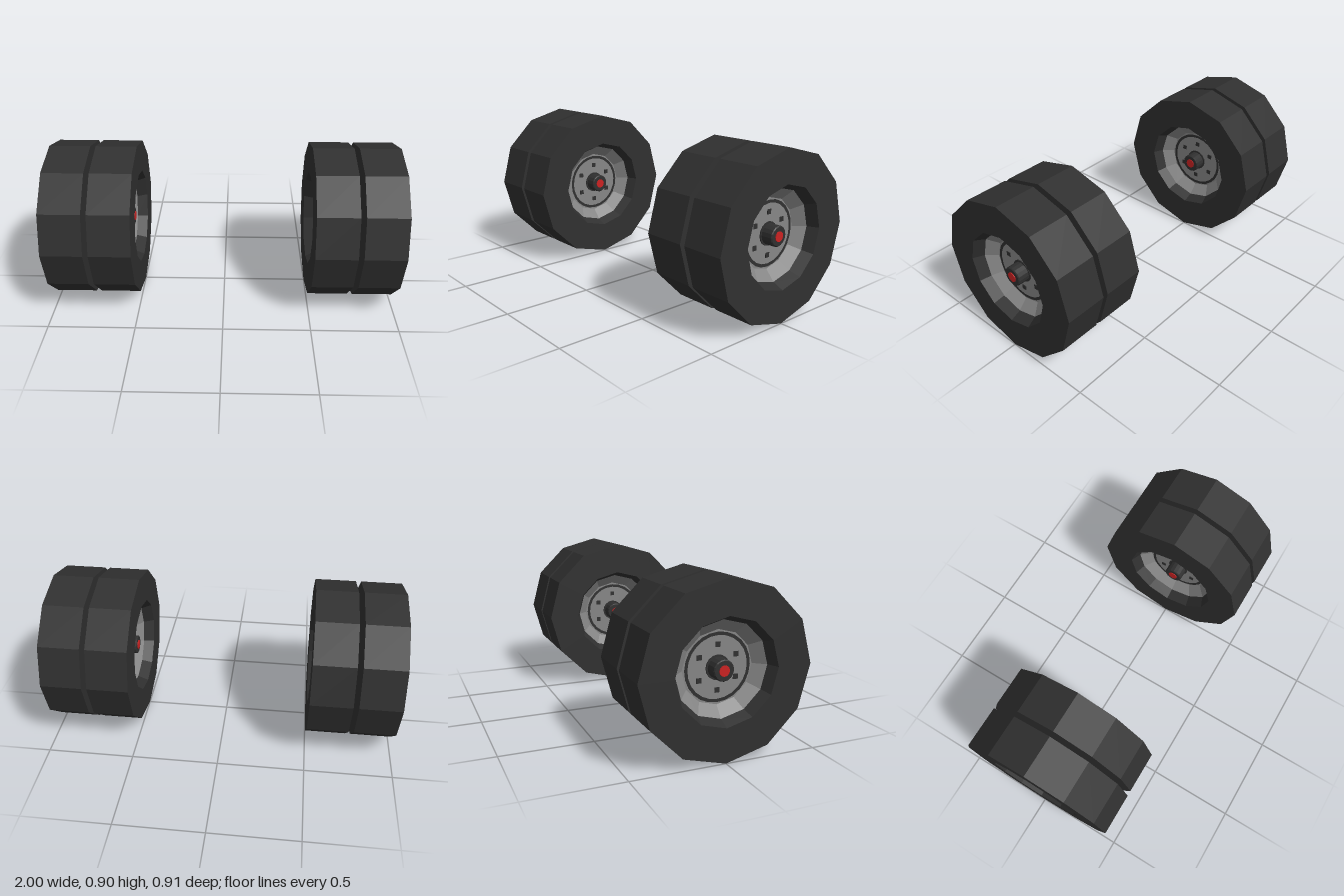
import * as THREE from 'three';

const mat = (name, color) => {
  const m = new THREE.MeshStandardMaterial({ color, flatShading: true });
  m.name = name;
  return m;
};

const WIDTH = 0.235;      // one tyre
const GAP = 0.03;         // between the twin tyres
const DISC = WIDTH - 0.11; // axial position of the flat rim disc

export function createModel() {
  const rubber = mat('rubber', 0x303030);
  const steel = mat('steel', 0x868686);
  const red = mat('red', 0xcc2222);

  // Lathe around the x axis from [radius, axial] pairs
  const turned = (name, material, profile, sides = 12) => {
    const g = new THREE.LatheGeometry(profile.map(([r, a]) => new THREE.Vector2(r, a)), sides);
    g.rotateZ(-Math.PI / 2);
    const mesh = new THREE.Mesh(g, material);
    mesh.name = name;
    return mesh;
  };

  // One wheel with its outer face towards +x and its back at x = 0
  const makeWheel = () => {
    const wheel = new THREE.Group();
    wheel.name = 'wheel';

    wheel.add(turned('tyre', rubber, [
      [0, 0], [0.457, 0], [0.457, WIDTH], [0.275, WIDTH], [0.248, WIDTH - 0.06],
    ]));
    wheel.add(turned('rim', steel, [
      [0.248, WIDTH - 0.06], [0.19, DISC], [0, DISC],
    ]));

    // Dark groove ring on the rim disc
    const ring = new THREE.Mesh(new THREE.RingGeometry(0.161, 0.178, 24), rubber);
    ring.name = 'rimRing';
    ring.rotation.y = Math.PI / 2;
    ring.position.x = DISC + 0.003;
    wheel.add(ring);

    // Six wheel bolts
    for (let i = 0; i < 6; i++) {
      const a = (i * Math.PI) / 3;
      const bolt = new THREE.Mesh(new THREE.BoxGeometry(0.008, 0.026, 0.026), rubber);
      bolt.name = 'bolt';
      bolt.position.set(DISC, 0.115 * Math.cos(a), 0.115 * Math.sin(a));
      wheel.add(bolt);
    }

    // Hub with flange and red cap
    wheel.add(turned('hub', rubber, [
      [0.064, DISC], [0.064, DISC + 0.006], [0.055, DISC + 0.006],
      [0.055, WIDTH - 0.045], [0.05, WIDTH - 0.04], [0, WIDTH - 0.04],
    ], 16));
    wheel.add(turned('hubCap', red, [
      [0.028, WIDTH - 0.041], [0.028, WIDTH - 0.036], [0, WIDTH - 0.036],
    ]));
    return wheel;
  };

  const model = new THREE.Group();
  model.name = 'twinWheels';
  for (const side of [1, -1]) {
    const pair = new THREE.Group();
    pair.name = side > 0 ? 'leftWheelPair' : 'rightWheelPair';
    for (const face of [1, -1]) {
      const wheel = makeWheel();
      wheel.position.x = (face * GAP) / 2;
      if (face < 0) wheel.rotation.y = Math.PI;
      pair.add(wheel);
    }
    // Waisted axle joining the two wheels
    pair.add(turned('axle', rubber, [
      [0.056, -0.016], [0.04, -0.005], [0.04, 0.005], [0.056, 0.016],
    ], 16));
    pair.position.set(side * 0.75, 0.454, 0);
    pair.scale.y = 0.99;
    model.add(pair);
  }
  return model;
}
